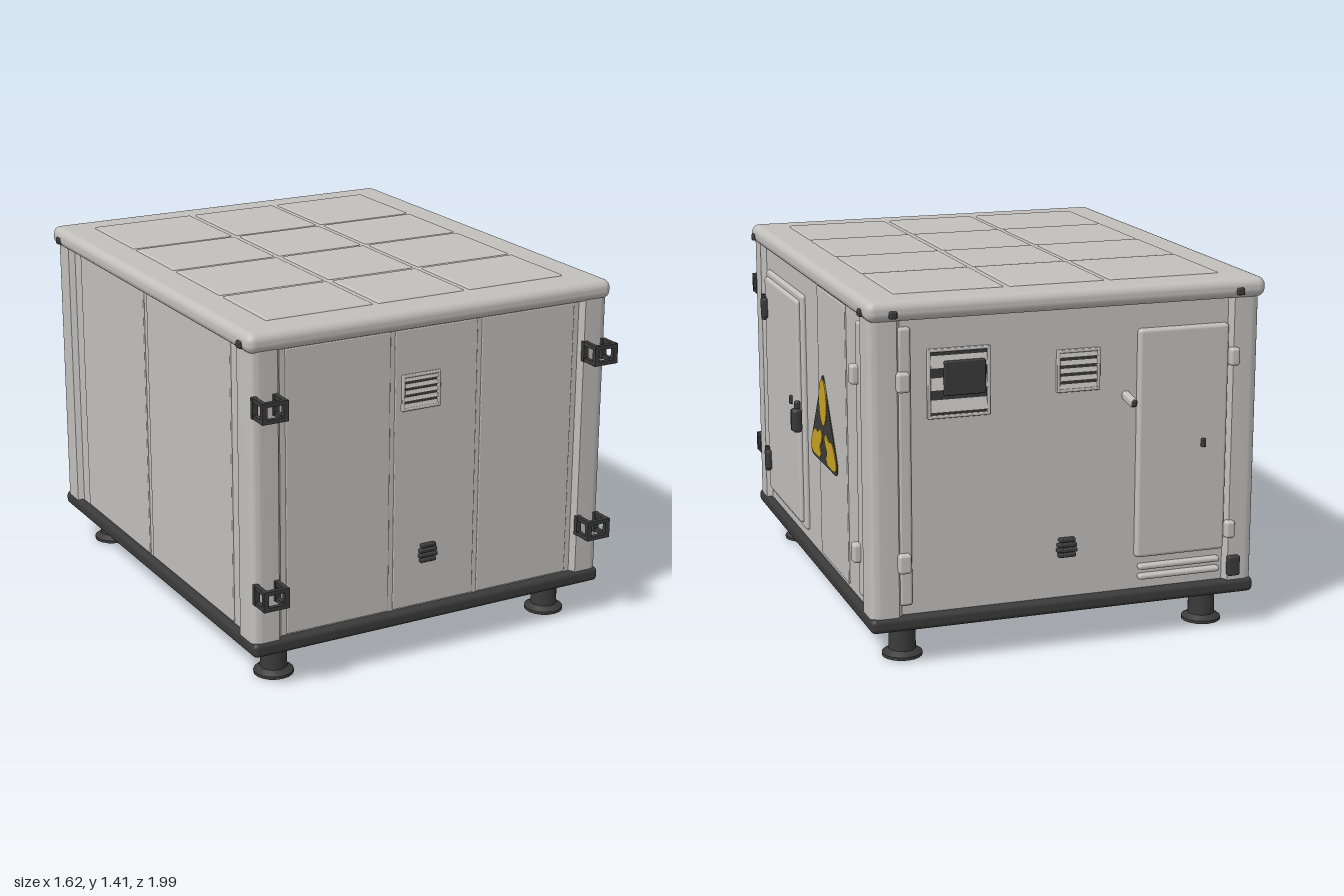
import * as THREE from 'three';
import { toCreasedNormals } from 'three/addons/utils/BufferGeometryUtils.js';
import { RoundedBoxGeometry } from 'three/addons/geometries/RoundedBoxGeometry.js';

const mat = (name, color) => {
  const m = new THREE.MeshStandardMaterial({ color });
  m.name = name;
  return m;
};

export function createModel() {
  const paint = mat('light grey paint', 0xc2c0bd);
  const dark = mat('dark metal', 0x3a3a3b);
  const yellow = mat('warning yellow', 0xc8a224);
  const model = new THREE.Group();
  model.name = 'equipmentContainer';

  const add = (parent, name, geo, m, x = 0, y = 0, z = 0) => {
    const mesh = new THREE.Mesh(geo, m);
    mesh.name = name;
    mesh.position.set(x, y, z);
    parent.add(mesh);
    return mesh;
  };
  const box = (parent, name, m, w, h, d, x, y, z, r = 0) =>
    add(parent, name, r ? new RoundedBoxGeometry(w, h, d, 3, r) : new THREE.BoxGeometry(w, h, d), m, x, y, z);
  // Group on a wall: local +z points outward, local x runs to the viewer's right
  const wall = (name, x, z, turn) => {
    const g = new THREE.Group();
    g.name = name;
    g.position.set(x, 0, z);
    g.rotation.y = turn;
    model.add(g);
    return g;
  };

  // Shell: footprint with rounded corner posts and recessed walls
  const x0 = -0.785, x1 = 0.765, z0 = -0.93, z1 = 0.9, dip = 0.022, c = 0.035;
  const corners = [[x0, z1, 1, -1], [x1, z1, -1, -1], [x1, z0, -1, 1], [x0, z0, 1, 1]];
  const foot = new THREE.Shape();
  corners.forEach(([x, z, sx, sz], i) => {
    const alongX = [[x + sx * 0.122, z + sz * dip], [x + sx * 0.105, z], [x + sx * c, z]];
    const alongZ = [[x + sx * dip, z + sz * 0.137], [x, z + sz * 0.12], [x, z + sz * c]];
    const [a, b] = i % 2 ? [alongX, alongZ] : [alongZ, alongX];
    a.forEach(([px, pz], k) => (i === 0 && k === 0 ? foot.moveTo(px, -pz) : foot.lineTo(px, -pz)));
    foot.quadraticCurveTo(x, -z, b[2][0], -b[2][1]);
    foot.lineTo(b[1][0], -b[1][1]);
    foot.lineTo(b[0][0], -b[0][1]);
  });
  const shell = new THREE.ExtrudeGeometry(foot, { depth: 1.18, bevelEnabled: false, curveSegments: 6 });
  shell.rotateX(-Math.PI / 2);
  add(model, 'shellWalls', toCreasedNormals(shell, 0.6), paint, 0, 0.18, 0);

  // Base frame, roof and roof panels
  box(model, 'baseFrame', dark, 1.56, 0.058, 1.85, -0.01, 0.172, -0.015, 0.02);
  box(model, 'roof', paint, 1.58, 0.078, 1.865, -0.012, 1.365, -0.022, 0.034);
  const colEdges = [-0.67, -0.2, 0.2, 0.65], rowEdges = [-0.83, -0.4, -0.015, 0.4, 0.78];
  for (let i = 0; i < 3; i++) for (let j = 0; j < 4; j++) {
    const w = colEdges[i + 1] - colEdges[i] - 0.02, d = rowEdges[j + 1] - rowEdges[j] - 0.02;
    box(model, 'roofPanel', paint, w, 0.024, d,
      (colEdges[i] + colEdges[i + 1]) / 2, 1.398, (rowEdges[j] + rowEdges[j + 1]) / 2, 0.011);
  }
  // Plugs near the roof corners
  for (const z of [0.84, -0.87]) for (const x of [-0.802, 0.778])
    box(model, 'roofPlug', dark, 0.02, 0.028, 0.03, x, 1.355, z, 0.006);
  for (const x of [-0.69, 0.68]) box(model, 'roofPlug', dark, 0.03, 0.028, 0.02, x, 1.355, -0.955, 0.006);

  // Feet
  const footProfile = [[0, 0], [0.078, 0], [0.078, 0.012], [0.053, 0.028], [0.05, 0.16], [0, 0.16]]
    .map(p => new THREE.Vector2(...p));
  const footGeo = toCreasedNormals(new THREE.LatheGeometry(footProfile, 18), 0.6);
  for (const x of [-0.635, 0.61]) for (const z of [0.76, -0.79]) add(model, 'foot', footGeo, dark, x, 0, z);

  const front = wall('frontWall', 0, 0.878, 0);
  const right = wall('doorWall', 0.743, 0, Math.PI / 2);
  const back = wall('backWall', 0, -0.908, Math.PI);
  const plain = wall('plainWall', -0.763, 0, -Math.PI / 2);

  // Louvred vent: dark opening, raised frame, sloping slats
  const vent = (parent, x, y, w, h, slats) => {
    const g = new THREE.Group();
    g.name = 'vent';
    g.position.set(x, y, 0);
    parent.add(g);
    box(g, 'ventOpening', dark, w, h, 0.008, 0, 0, 0.002);
    for (const s of [-1, 1]) {
      box(g, 'ventFrameSide', paint, 0.012, h + 0.012, 0.02, s * w / 2, 0, 0.006, 0.004);
      box(g, 'ventFrameBar', paint, w + 0.012, 0.012, 0.02, 0, s * h / 2, 0.006, 0.004);
    }
    for (let i = 0; i < slats; i++) {
      const slat = box(g, 'ventSlat', paint, w - 0.01, h / slats * 0.62, 0.005, 0, h * ((i + 0.5) / slats - 0.5), 0.01);
      slat.rotation.x = -0.3;
    }
  };
  // Small hooded outlet
  const outlet = (parent, x, y) => {
    for (let i = 0; i < 4; i++)
      box(parent, 'outletSlat', dark, 0.085 - Math.abs(i - 1.3) * 0.012, 0.016, 0.026, x, y + (i - 1.5) * 0.02, 0.008, 0.005);
  };
  const seam = (parent, x, y, w, h) => box(parent, 'wallPanel', paint, w, h, 0.01, x, y, 0, 0.004);

  // Front wall
  for (const [x, w] of [[-0.42, 0.44], [0, 0.36], [0.41, 0.42]]) seam(front, x, 0.765, w, 1.12);
  vent(front, -0.07, 1.08, 0.155, 0.13, 5);
  outlet(front, -0.03, 0.42);

  // Open-frame brackets on the front corner posts
  for (const x of [-0.735, 0.705]) for (const y of [0.403, 1.13]) {
    const g = new THREE.Group();
    g.name = 'cornerBracket';
    g.position.set(x, y, 0.9);
    model.add(g);
    for (const s of [-1, 1]) {
      box(g, 'bracketPost', dark, 0.02, 0.08, 0.018, s * 0.043, 0, 0.078);
      box(g, 'bracketMount', dark, 0.022, 0.08, 0.018, s * 0.043, 0, 0.004);
      for (const t of [-1, 1]) box(g, 'bracketArm', dark, 0.018, 0.016, 0.09, s * 0.043, t * 0.032, 0.04);
      box(g, 'bracketBar', dark, 0.1, 0.016, 0.018, 0, s * 0.032, 0.078);
    }
  }

  // Door wall: local x is -z
  seam(right, 0.33, 0.765, 0.42, 1.1);
  box(right, 'doorSurround', paint, 0.62, 0.99, 0.03, -0.398, 0.74, 0.002, 0.012);
  box(right, 'mainDoor', paint, 0.565, 0.94, 0.04, -0.4, 0.74, 0.012, 0.012);
  for (const y of [0.405, 1.08]) {
    box(right, 'doorHinge', dark, 0.055, 0.085, 0.036, -0.655, y, 0.034, 0.01);
    add(right, 'hingePin', new THREE.CylinderGeometry(0.014, 0.014, 0.11, 12), dark, -0.672, y, 0.036);
  }
  box(right, 'doorHandle', dark, 0.05, 0.1, 0.04, -0.09, 0.72, 0.046, 0.015);
  box(right, 'handleTip', dark, 0.025, 0.05, 0.025, -0.098, 0.775, 0.04, 0.01);
  box(right, 'doorLock', dark, 0.018, 0.035, 0.016, -0.22, 0.775, 0.036, 0.005);
  box(right, 'doorLock', dark, 0.012, 0.09, 0.012, -0.215, 0.69, 0.035, 0.004);

  // Warning sign
  const sign = new THREE.Group();
  sign.name = 'warningSign';
  sign.position.set(0.2, 0.605, 0.004);
  right.add(sign);
  const plate = (name, shape, m, z) =>
    add(sign, name, new THREE.ExtrudeGeometry(shape, { depth: 0.004, bevelEnabled: false, curveSegments: 16 }), m, 0, 0, z);
  const tri = new THREE.Shape();
  tri.moveTo(-0.17, 0);
  tri.lineTo(0.17, 0);
  tri.quadraticCurveTo(0.22, 0.01, 0.198, 0.06);
  tri.lineTo(0.02, 0.35);
  tri.quadraticCurveTo(0, 0.38, -0.02, 0.35);
  tri.lineTo(-0.198, 0.06);
  tri.quadraticCurveTo(-0.22, 0.01, -0.17, 0);
  plate('signBoard', tri, dark, 0);
  const petal = new THREE.Shape();
  petal.absellipse(0, 0.255, 0.058, 0.095, 0, Math.PI * 2);
  plate('signPetal', petal, yellow, 0.003);
  for (const s of [-1, 1]) {
    const lobe = [[0.06, 0.013], [0.165, 0.013], [0.195, 0.04], [0.165, 0.095], [0.125, 0.12], [0.085, 0.115],
      [0.045, 0.135], [0.018, 0.115], [0.03, 0.085], [0.055, 0.06], [0.035, 0.035]];
    plate('signLobe', new THREE.Shape([...new THREE.SplineCurve(lobe.map(([x, y]) => new THREE.Vector2(s * x, y)))
      .getPoints(40)]), yellow, 0.003);
  }

  // Rear strips with latches beside the back corner posts
  for (const [g, x] of [[right, 0.755], [back, -0.63]]) {
    box(g, 'cornerStrip', paint, 0.05, 1.06, 0.03, x, 0.77, 0.004, 0.012);
    for (const y of [0.41, 1.1]) box(g, 'latch', paint, 0.05, 0.075, 0.045, x - 0.01, y, 0.024, 0.012);
  }

  // Back wall: local x is -x
  vent(back, -0.42, 1.08, 0.23, 0.25, 3);
  box(back, 'intakeGrille', dark, 0.16, 0.13, 0.02, -0.4, 1.1, 0.016, 0.006);
  vent(back, 0.05, 1.09, 0.16, 0.15, 5);
  outlet(back, 0.01, 0.4);
  box(back, 'backDoor', paint, 0.37, 0.9, 0.04, 0.475, 0.78, 0.006, 0.014);
  box(back, 'backDoorLock', dark, 0.02, 0.035, 0.015, 0.56, 0.77, 0.028, 0.005);
  const lever = box(back, 'backLever', paint, 0.03, 0.035, 0.1, 0.245, 0.97, 0.04, 0.012);
  lever.rotation.x = 0.15;
  box(back, 'leverTip', dark, 0.022, 0.028, 0.022, 0.245, 0.965, 0.083, 0.008);
  for (const y of [0.25, 0.29]) box(back, 'stepBar', paint, 0.34, 0.022, 0.035, 0.475, y, 0.01, 0.01);
  for (const y of [0.41, 1.1]) box(back, 'backHinge', paint, 0.04, 0.07, 0.04, 0.68, y, 0.025, 0.012);
  box(back, 'cornerStop', dark, 0.05, 0.08, 0.03, 0.7, 0.26, 0.03, 0.008);

  // Plain wall: local x is z
  for (const [x, w] of [[-0.4, 0.64], [0.32, 0.74]]) seam(plain, x, 0.765, w, 1.12);

  return model;
}
